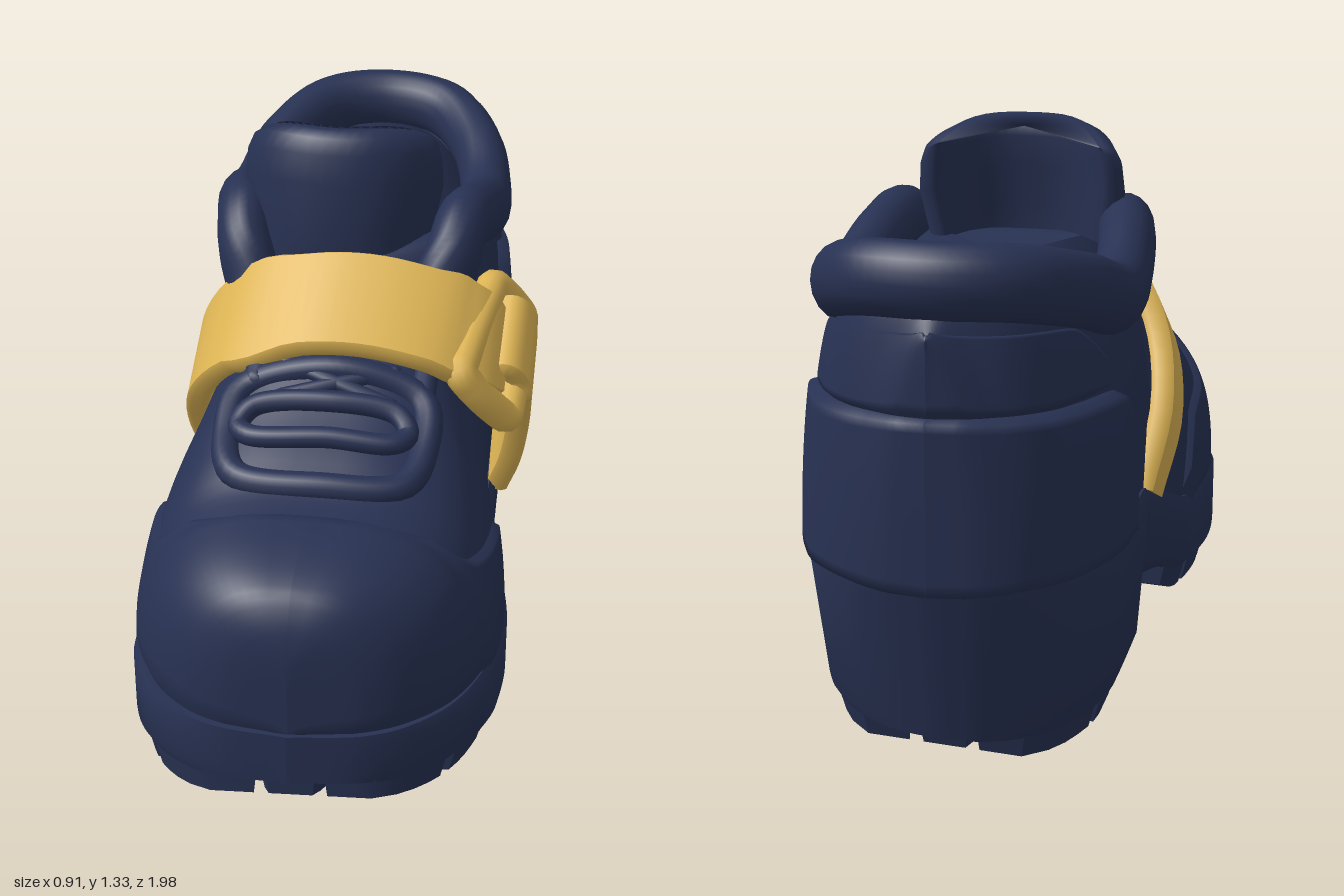
import * as THREE from 'three';
import { toCreasedNormals } from 'three/addons/utils/BufferGeometryUtils.js';

const V = (x, y, z) => new THREE.Vector3(x, y, z);

// Smooth curve through [position, value] pairs, without overshoot
function curve(p) {
  const d = p.slice(1).map((q, i) => (q[1] - p[i][1]) / (q[0] - p[i][0]));
  const m = p.map((_, i) => {
    if (i === 0) return d[0];
    if (i === p.length - 1) return d[i - 1];
    return d[i - 1] * d[i] <= 0 ? 0 : (2 * d[i - 1] * d[i]) / (d[i - 1] + d[i]);
  });
  return (x) => {
    if (x <= p[0][0]) return p[0][1];
    if (x >= p[p.length - 1][0]) return p[p.length - 1][1];
    let i = 0;
    while (x > p[i + 1][0]) i++;
    const h = p[i + 1][0] - p[i][0], t = (x - p[i][0]) / h, s = 1 - t;
    return p[i][1] * (1 + 2 * t) * s * s + m[i] * h * t * s * s
      + p[i + 1][1] * t * t * (3 - 2 * t) - m[i + 1] * h * t * t * s;
  };
}

// Skin over a row of cross-sections
function loft(sections, closed, cap) {
  const n = sections[0].length, pos = [], idx = [];
  sections.forEach((s) => s.forEach((v) => pos.push(v.x, v.y, v.z)));
  for (let i = 0; i < sections.length - 1; i++) {
    for (let j = 0; j < (closed ? n : n - 1); j++) {
      const a = i * n + j, b = i * n + (j + 1) % n;
      idx.push(a, b, a + n, b, b + n, a + n);
    }
  }
  if (cap) {
    [0, sections.length - 1].forEach((k) => {
      const c = sections[k].reduce((q, v) => q.add(v), V(0, 0, 0)).divideScalar(n);
      const ci = pos.length / 3;
      pos.push(c.x, c.y, c.z);
      for (let j = 0; j < n; j++) {
        const a = k * n + j, b = k * n + (j + 1) % n;
        if (k === 0) idx.push(ci, b, a); else idx.push(ci, a, b);
      }
    });
  }
  const g = new THREE.BufferGeometry();
  g.setAttribute('position', new THREE.Float32BufferAttribute(pos, 3));
  g.setIndex(idx);
  g.computeVertexNormals();
  return g;
}
const steps = (n, f) => Array.from({ length: n + 1 }, (_, i) => f(i / n));

// Proportions along the length of the shoe
const CX = -0.017;
const width = curve([[-.96, 0], [-.95, .09], [-.9, .195], [-.8, .285], [-.6, .345], [-.3, .352], [0, .355], [.2, .39],
  [.45, .42], [.6, .41], [.7, .385], [.8, .34], [.9, .25], [.95, .15], [.97, 0]]);
const rim = curve([[-.92, 0], [-.88, .1], [-.8, .18], [-.7, .235], [-.5, .285], [-.2, .28], [-.1, .22], [.02, 0]]);
const top = curve([[-.96, .97], [-.9, 1.05], [-.8, 1.03], [-.5, .96], [-.2, 1.03], [-.1, 1.05], [0, 1.03], [.1, .98],
  [.2, .925], [.3, .86], [.4, .8], [.5, .75], [.6, .7], [.8, .665], [.9, .63], [.94, .58], [.965, .5], [.97, .42]]);
const soleTop = curve([[-.99, .43], [-.9, .45], [-.3, .46], [-.08, .4], [.1, .33], [.25, .28], [.6, .285], [.99, .31]]);
const arch = curve([[-.26, .24], [.05, .145], [.2, .09], [.35, .08], [.6, .095], [.9, .145], [.99, .175]]);
const power = curve([[-.3, 1], [.1, .88], [.4, .75], [.9, .7]]);
const soleBottom = (z) => (z < -.26 ? .05 : arch(z));
const soleWidth = (z) => width(z * .975) * 1.06;

// Point on the upper: a = 0 at the sole, PI/2 at the rim or centre line
function upperPoint(z, a, side) {
  const w = width(z), r = Math.min(rim(z), w), b = soleTop(z) - .03;
  const c = Math.max(0, Math.cos(a)), s = Math.max(0, Math.sin(a)), p = power(z);
  return V(CX + side * (r + (w - r) * c ** p), b + (top(z) - b) * s ** p, z);
}
function angleAt(z, y) {
  const b = soleTop(z) - .03, f = THREE.MathUtils.clamp((y - b) / (top(z) - b), 0, 1);
  return Math.asin(f ** (1 / power(z)));
}
function onUpper(x, z, lift) {
  const f = Math.min(1, Math.abs(x - CX) / width(z));
  const v = upperPoint(z, Math.acos(f ** (1 / power(z))), Math.sign(x - CX) || 1);
  return v.setY(v.y + lift);
}

// Raised overlay on one side of the upper, between heights y0 and y1
function panel(z0, z1, y0, y1, off, side) {
  return loft(steps(36, (t) => {
    const z = z0 + (z1 - z0) * Math.sin(t * Math.PI / 2);
    const a0 = angleAt(z, y0(z)), a1 = Math.max(a0, angleAt(z, y1(z)));
    return steps(18, (u) => {
      const edge = (t === 0 || u === 1 || u === 0) && !(a1 > 1.55 && u === 1) ? -.006 : off;
      const a = a0 + (a1 - a0) * u, v = upperPoint(z, a, side);
      return V(CX + (v.x - CX) * (1 + edge * 3), v.y + edge * Math.sin(a) ** 3, z * (1 + edge));
    });
  }), false, false);
}

// The sole rolls up slightly on the left, and the heel narrows toward the ground
function shapeSole(v) {
  const low = Math.max(0, .45 - v.y) / .45;
  if (v.z < -.255) {
    v.x *= 1 - .095 * low;
    v.z *= 1 - .095 * low;
  }
  v.y += .065 * (v.x + .33) * low;
  return v;
}

export function createModel() {
  const shoe = new THREE.Group();
  shoe.name = 'shoe';
  const navy = new THREE.MeshStandardMaterial({ color: 0x273152, side: THREE.DoubleSide });
  navy.name = 'navy';
  const gold = new THREE.MeshStandardMaterial({ color: 0xdcb354, side: THREE.DoubleSide });
  gold.name = 'gold';
  const add = (name, geo, mat = navy) => {
    const m = new THREE.Mesh(geo, mat);
    m.name = name;
    shoe.add(m);
    return m;
  };
  const tube = (name, pts, r, mat = navy, closed = false) => {
    const path = new THREE.CatmullRomCurve3(pts, closed, 'centripetal');
    add(name, new THREE.TubeGeometry(path, pts.length * 8, r, 12, closed), mat);
    if (!closed) [pts[0], pts[pts.length - 1]].forEach((p) =>
      add(name + 'End', new THREE.SphereGeometry(r, 12, 8), mat).position.copy(p));
  };

  // Upper, open at the ankle
  add('upper', loft(steps(90, (t) => {
    const z = .005 - .965 * Math.cos(Math.PI * t);
    return steps(48, (u) => (u < .5 ? upperPoint(z, u * Math.PI, -1) : upperPoint(z, (1 - u) * Math.PI, 1)));
  }), false, false));

  // Toe cap, heel counter and heel band overlays
  const capTop = curve([[.22, .28], [.33, .5], [.6, .56], [.68, .72]]);
  const counterTop = curve([[-.96, .82], [-.7, .81], [-.56, .79], [-.5, .7], [-.46, .45]]);
  const bandTop = curve([[-.96, .99], [-.75, .97], [-.6, .86]]);
  for (const s of [-1, 1]) {
    add('toeCap', panel(.22, .97, () => .2, capTop, .014, s));
    add('heelCounter', panel(-.46, -.96, () => .4, counterTop, .03, s));
    add('heelBand', panel(-.6, -.96, () => .81, bandTop, .014, s));
  }

  // Sole with block heel
  const soleZ = [...steps(36, (t) => -.985 + .724 * (1 - Math.cos(t * Math.PI / 2))),
    ...steps(48, (t) => -.2595 + 1.2545 * Math.sin(t * Math.PI / 2))];
  add('sole', toCreasedNormals(loft(soleZ.map((z) => {
    const w = soleWidth(z), t = soleTop(z), b = soleBottom(z);
    return [[-1, t - .025], [-.96, t], [.96, t], [1, t - .025], [1, b + .03], [.94, b], [-.94, b], [-1, b + .03]]
      .map(([x, y]) => shapeSole(V(CX + x * w, y, z)));
  }), true, true), .7));

  // Tread lugs, three columns under the forefoot and heel
  const rows = [[.08, .24], [.27, .43], [.46, .62], [.65, .8], [.83, .96], [-.46, -.27], [-.67, -.49], [-.92, -.7]];
  for (const [z0, z1] of rows) {
    for (const [l, r] of [[-.96, -.38], [-.29, .29], [.38, .96]]) {
      add('treadLug', toCreasedNormals(loft(steps(4, (t) => {
        const z = z0 + (z1 - z0) * t, w = soleWidth(z), b = soleBottom(z);
        return [[l, b + .02], [r, b + .02], [r - .04, b - .05], [l + .04, b - .05]]
          .map(([x, y]) => shapeSole(V(CX + x * w, y, z)));
      }), true, true), .6));
    }
  }

  // Padded collar around the ankle, tucked in beside the tongue
  const half = [[.22, .93, .0], [.25, 1.02, -.05], [.265, 1.07, -.13], [.285, 1.05, -.24], [.297, .985, -.48],
    [.255, 1.045, -.7], [.15, 1.09, -.86]];
  const collarPath = new THREE.CatmullRomCurve3([...half.map(([x, y, z]) => V(CX + x, y, z)), V(CX - .01, 1.098, -.91),
    ...half.slice().reverse().map(([x, y, z]) => V(CX - .02 - x, y, z))], false, 'centripetal');
  add('collar', loft(steps(100, (t) => {
    const c = collarPath.getPoint(t), dir = collarPath.getTangent(t);
    const out = V(dir.z, 0, -dir.x).normalize(), up = out.clone().cross(dir).normalize();
    return steps(17, (k) => {
      const a = k * 17 / 18 * Math.PI * 2;
      return c.clone().addScaledVector(out, .068 * Math.cos(a)).addScaledVector(up, .083 * Math.sin(a));
    });
  }), true, true));

  // Lining and insole
  add('lining', loft([[1, 0], [.97, .2], [.93, .4], [.88, .52]].map(([k, drop]) => steps(40, (u) => {
    const a = u * Math.PI * 2, z = -.42 + .45 * k * Math.cos(a);
    return V(CX - .01 + .265 * k * Math.sin(a), drop < .5 ? top(z) - drop : .48, z);
  })), false, true));

  // Tongue, a padded sheet curving back at its sides
  const tongueRows = [[.5, .22, -.04, .05], [.85, .235, -.03, .05], [1.0, .225, -.025, .05], [1.1, .215, -.03, .052],
    [1.21, .235, -.05, .054], [1.28, .23, -.06, .05], [1.315, .22, -.068, .036], [1.33, .2, -.07, .012]];
  add('tongue', loft(tongueRows.map(([y, hw, zc, th]) => steps(47, (k) => {
    const a = k * 47 / 48 * Math.PI * 2, u = Math.cos(a);
    const d = Math.sign(Math.sin(a)) * Math.abs(Math.sin(a)) ** .5 * th;
    const slope = -.14 * 2.4 * Math.sign(u) * Math.abs(u) ** 1.4 / hw, len = Math.hypot(1, slope);
    return V(-.055 + u * hw - d * slope / len, y - .06 * u ** 4, zc - .14 * Math.abs(u) ** 2.4 + d / len);
  })), true, true));

  // Lace opening, eyestays and lace loop
  const rimPts = [[-.23, .31], [-.25, .42], [-.21, .54], [0, .575], [.18, .54], [.22, .42], [.2, .31], [0, .29]];
  tube('laceFrame', rimPts.map(([x, z]) => onUpper(x, z, 0)), .034, navy, true);
  for (const s of [-1, 1]) tube('eyestay', [.3, .2, .1, .03].map((z) => onUpper(s * .2, z, 0)), .03);
  const loop = [[-.19, .39], [0, .385], [.15, .39], [.18, .43], [.15, .465], [0, .475], [-.19, .465], [-.22, .43]];
  tube('laceLoop', loop.map(([x, z]) => onUpper(x, z, .02)), .026, navy, true);
  for (const s of [-1, 1]) {
    tube('crossLace', [[-.13, .36], [0, .33], [.13, .28]].map(([x, z]) => onUpper(s * x, z, .005)), .018);
  }

  // Strap bands: centre points, each with half the band width as (y, z)
  const band = (name, rowsIn) => {
    const mid = new THREE.CatmullRomCurve3(rowsIn.map((r) => V(r[0], r[1], r[2])));
    const across = new THREE.CatmullRomCurve3(rowsIn.map((r) => V(0, r[3], r[4])));
    add(name, toCreasedNormals(loft(steps(40, (t) => {
      const c = mid.getPoint(t), w = across.getPoint(t);
      const n = mid.getTangent(t).cross(w).normalize();
      return [[-1, -.014], [-.92, -.028], [.92, -.028], [1, -.014], [1, .014], [.92, .028], [-.92, .028], [-1, .014]]
        .map(([a, b]) => c.clone().addScaledVector(w, a).addScaledVector(n, b));
    }), true, true), .8), gold);
  };
  band('upperStrap', [[-.365, .41, -.14, -.04, .095], [-.4, .6, -.05, -.05, .105], [-.365, .77, .06, -.06, .115],
    [-.265, .9, .14, -.07, .12], [-.1, .975, .18, -.07, .12], [.05, .985, .185, -.07, .12],
    [.2, .955, .18, -.07, .12], [.29, .91, .15, -.07, .12], [.335, .87, .125, -.065, .12], [.36, .82, .1, -.05, .1]]);
  band('lowerStrap', [[.36, .4, -.14, -.04, .095], [.395, .52, -.09, -.042, .1], [.415, .66, -.03, -.045, .1],
    [.42, .77, .025, -.05, .105], [.415, .83, .05, -.05, .105], [.385, .865, .065, -.05, .105], [.36, .85, .06, -.05, .105]]);

  // Rounded rectangular buckle ring
  const corners = [V(.28, .86, .27), V(.395, .71, .21), V(.41, .85, -.09), V(.335, .955, -.05)];
  const ring = corners.flatMap((c, i) => {
    const p = corners[(i + 3) % 4], n = corners[(i + 1) % 4];
    const toward = (q) => c.clone().add(q.clone().sub(c).setLength(.05));
    return [toward(p), c.clone().lerp(p.clone().add(n).multiplyScalar(.5), .06), toward(n)];
  });
  tube('buckle', ring, .04, gold, true);

  return shoe;
}
